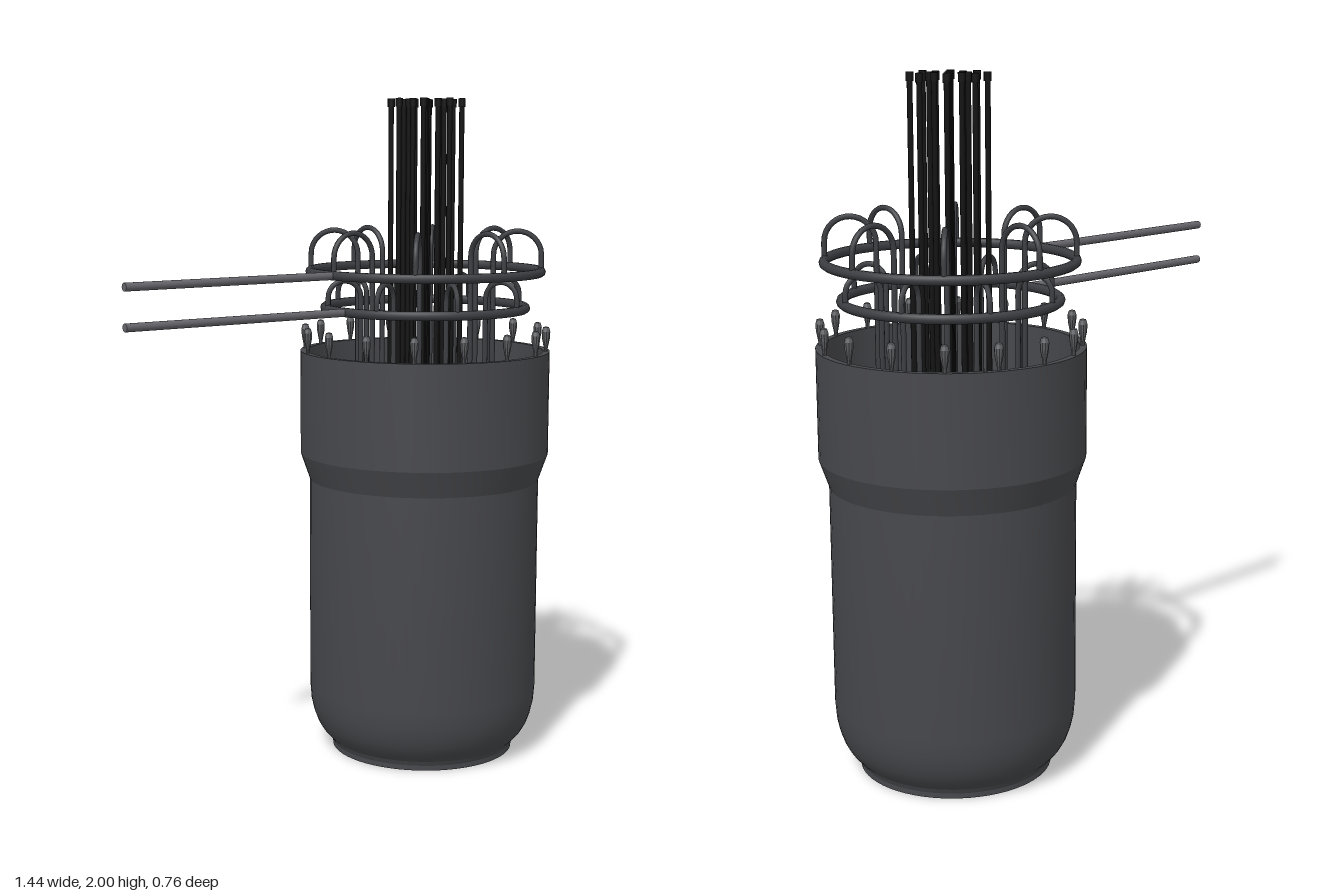
import * as THREE from 'three';
import { toCreasedNormals } from 'three/addons/utils/BufferGeometryUtils.js';

const paint = (color, side = THREE.FrontSide) => new THREE.MeshStandardMaterial({ color, side });

export function createModel() {
  const model = new THREE.Group();
  const reactor = new THREE.Group();
  reactor.name = 'reactor';
  reactor.position.x = 0.34;
  model.add(reactor);

  const steel = paint(0x47484c, THREE.DoubleSide);
  const tubeSteel = paint(0x3c3e42);
  const pipeSteel = paint(0x66666c);
  const studSteel = paint(0x5c5d61);
  const black = paint(0x121212);

  const add = (name, geometry, material, parent = reactor) => {
    const mesh = new THREE.Mesh(geometry, material);
    mesh.name = name;
    parent.add(mesh);
    return mesh;
  };
  const group = (name) => {
    const g = new THREE.Group();
    g.name = name;
    reactor.add(g);
    return g;
  };
  const lathe = (points, segments) =>
    toCreasedNormals(new THREE.LatheGeometry(points.map(([r, y]) => new THREE.Vector2(r, y)), segments), 0.3);

  // Open vessel: outer wall from the foot up to the rim, then the inner wall down to the floor
  add('vessel', lathe([
    [0, 0], [0.28, 0], [0.28, 0.015], [0.287, 0.03], [0.301, 0.044], [0.316, 0.062], [0.329, 0.085],
    [0.34, 0.115], [0.348, 0.15], [0.352, 0.2], [0.352, 0.85], [0.38, 0.93], [0.38, 1.245],
    [0.36, 1.245], [0.36, 0.93], [0.332, 0.85], [0.332, 0.2], [0.322, 0.13], [0.3, 0.085],
    [0.265, 0.06], [0.22, 0.05], [0, 0.05],
  ], 64), steel);

  // Core barrel standing inside the vessel
  add('coreBarrel', lathe([[0.19, 0.05], [0.19, 0.85], [0.17, 0.85], [0.17, 0.05]], 48), steel);

  // Control rods: one in the middle and two rings of eight, each with a cap
  const rods = group('controlRods');
  const rodGeometry = new THREE.CylinderGeometry(0.008, 0.008, 1.89, 10);
  const capGeometry = new THREE.CylinderGeometry(0.011, 0.011, 0.025, 10);
  const addRod = (r, angle) => {
    const x = r * Math.cos(angle), z = r * Math.sin(angle);
    add('rod', rodGeometry, black, rods).position.set(x, 1.045, z);
    add('rodCap', capGeometry, black, rods).position.set(x, 1.9875, z);
  };
  addRod(0, 0);
  for (const r of [0.053, 0.106]) {
    for (let i = 0; i < 8; i++) addRod(r, (i * Math.PI) / 4);
  }

  // Two ring headers, each with a feed pipe and eight tubes arching over into the vessel
  const addHeader = (name, y, ringRadius, innerRadius, peak, offset) => {
    const header = group(name);
    const ring = add('ring', new THREE.TorusGeometry(ringRadius, 0.014, 10, 64), tubeSteel, header);
    ring.rotation.x = Math.PI / 2;
    ring.position.y = y;

    const length = 1.06 - ringRadius;
    const pipe = add('feedPipe', new THREE.CylinderGeometry(0.012, 0.012, length, 14), pipeSteel, header);
    pipe.rotation.z = Math.PI / 2;
    pipe.position.set(-ringRadius - length / 2, y, 0);

    const bend = (ringRadius - innerRadius) / 2;
    const middle = (ringRadius + innerRadius) / 2;
    const path = new THREE.CurvePath();
    const point = (r, h) => new THREE.Vector3(r, h, 0);
    const arc = [];
    for (let i = 0; i <= 12; i++) {
      const a = (i * Math.PI) / 12;
      arc.push(point(middle + bend * Math.cos(a), peak - bend + bend * Math.sin(a)));
    }
    path.add(new THREE.LineCurve3(point(ringRadius, y), arc[0]));
    path.add(new THREE.CatmullRomCurve3(arc));
    path.add(new THREE.LineCurve3(arc[12], point(innerRadius, 0.3)));
    const tubeGeometry = new THREE.TubeGeometry(path, 110, 0.008, 8);
    for (let i = 0; i < 8; i++) {
      add('archedTube', tubeGeometry, tubeSteel, header).rotation.y = offset + (i * Math.PI) / 4;
    }
  };
  addHeader('upperHeader', 1.485, 0.35, 0.206, 1.607, 0);
  addHeader('lowerHeader', 1.375, 0.305, 0.203, 1.46, Math.PI / 8);

  // Tapered studs around the rim
  const studs = group('rimStuds');
  const studGeometry = lathe([
    [0, 1.2], [0.006, 1.2], [0.006, 1.255], [0.012, 1.285], [0.013, 1.305], [0.009, 1.318], [0, 1.321],
  ], 10);
  studGeometry.computeVertexNormals();
  for (let i = 0; i < 16; i++) {
    const a = (i * Math.PI) / 8;
    add('stud', studGeometry, studSteel, studs).position.set(0.368 * Math.cos(a), 0, 0.368 * Math.sin(a));
  }

  return model;
}
